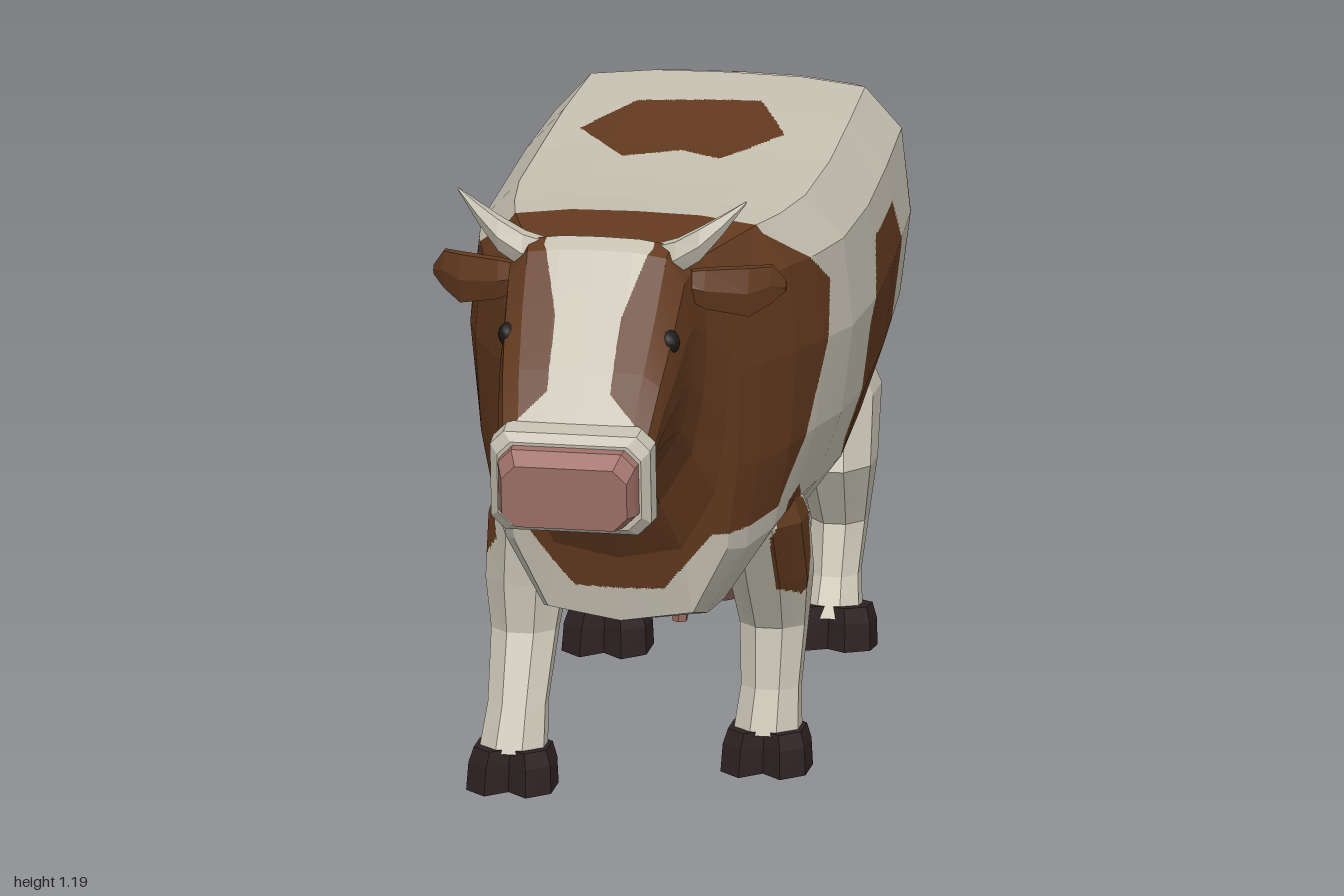
import * as THREE from 'three';

const mat = (name, color) => {
  const m = new THREE.MeshStandardMaterial({ color });
  m.name = name;
  return m;
};
const HEAD_X = -0.01; // the head sits slightly off the centre line

// Even-odd test of a point against a patch outline
function inside(poly, a, b) {
  let hit = false;
  for (let i = 0, j = poly.length - 1; i < poly.length; j = i++) {
    const [ai, bi] = poly[i], [aj, bj] = poly[j];
    if ((bi > b) !== (bj > b) && a < ((aj - ai) * (b - bi)) / (bj - bi) + ai) hit = !hit;
  }
  return hit;
}

// Coat patches: outlines in (z, y), and in (x, z) for the ones seen from above
const FRONT = [[0.32, 1.2], [0.32, 1.05], [0.14, 0.92], [0.25, 0.64], [0.32, 0.54], [0.4, 0.53], [0.45, 0.45], [0.5, 0.41], [1, 0.4], [1, 1.2]];
const FLANK = [[-0.22, 0.9], [-0.42, 0.91], [-0.5, 0.8], [-0.5, 0.54], [-0.42, 0.45], [-0.22, 0.45], [-0.14, 0.54], [-0.14, 0.76]];
const SHOULDER = [[0.27, 0.44], [0.25, 0.53], [0.2, 0.55], [0.14, 0.5], [0.12, 0.4], [0.15, 0.33], [0.2, 0.35]];
const RUMP = [[-0.62, 0.62], [-0.61, 0.78], [-0.62, 0.99], [-0.7, 1.035], [-0.775, 1.02], [-0.795, 1.1], [-0.9, 1.1], [-0.9, 0.62]];
const BACK = [[-0.21, -0.28], [-0.13, -0.43], [0.09, -0.46], [0.165, -0.28], [0.075, -0.11], [0, -0.15], [-0.1, -0.1]];
const BLAZE = [[-0.095, 0.54], [-0.1, 0.64], [-0.06, 0.75], [-0.058, 0.845], [-0.13, 0.89], [0.13, 0.89], [0.058, 0.845], [0.06, 0.75], [0.1, 0.64], [0.095, 0.54]];

// 0 = white coat, 1 = brown coat
function coat(p) {
  const ax = Math.abs(p.x);
  if (p.y > 0.78 && inside(BLAZE, p.x - HEAD_X, p.z)) return 0;
  if (p.y > 0.42 + 1.2 * Math.max(0, Math.min(ax, 0.17) - 0.08) && inside(FRONT, p.z, p.y)) return 1;
  if (p.z < -0.8 && ax < 0.06 && p.y < 0.95) return 0;
  if (inside(RUMP, p.z, p.y)) return 1;
  if (ax > 0.2 && inside(FLANK, p.z, p.y)) return 1;
  if (ax > 0.235 && inside(SHOULDER, p.z, p.y)) return 1;
  return p.y > 0.95 && inside(BACK, p.x, p.z) ? 1 : 0;
}

// Closed faceted skin over a list of rings; facets are split, more finely along patch edges
function loft(name, rings, materials, rule = () => 0, sub = 1) {
  const centre = (r) => {
    const c = r.reduce((s, p) => s.add(p), new THREE.Vector3()).divideScalar(r.length);
    return r.map(() => c);
  };
  const all = [centre(rings[0]), ...rings, centre(rings[rings.length - 1])];
  const n = rings[0].length, tris = [];
  let volume = 0;
  const tri = (a, b, c) => {
    const cross = b.clone().sub(a).cross(c.clone().sub(a));
    if (cross.lengthSq() < 1e-16) return;
    volume += a.dot(b.clone().cross(c));
    tris.push([a, b, c]);
  };
  for (let i = 0; i < all.length - 1; i++) {
    for (let j = 0; j < n; j++) {
      const k = (j + 1) % n;
      const at = (u, v) => all[i][j].clone().lerp(all[i][k], v / sub)
        .lerp(all[i + 1][j].clone().lerp(all[i + 1][k], v / sub), u / sub);
      for (let u = 0; u < sub; u++) for (let v = 0; v < sub; v++) {
        const a = at(u, v), b = at(u + 1, v), c = at(u + 1, v + 1), d = at(u, v + 1);
        tri(a, b, c);
        tri(a, c, d);
      }
    }
  }
  const buckets = materials.map(() => []);
  const paint = (a, b, c, depth) => {
    const mid = a.clone().add(b).add(c).divideScalar(3), m = rule(mid);
    if (depth > 0 && [a, b, c].some((p) => rule(p) !== m)) {
      const ab = a.clone().lerp(b, 0.5), bc = b.clone().lerp(c, 0.5), ca = c.clone().lerp(a, 0.5);
      for (const t of [[a, ab, ca], [ab, b, bc], [ca, bc, c], [ab, bc, ca]]) paint(...t, depth - 1);
    } else for (const p of [a, b, c]) buckets[m].push(p.x, p.y, p.z);
  };
  for (const [a, b, c] of tris) volume > 0 ? paint(a, b, c, 2) : paint(a, c, b, 2);
  const geo = new THREE.BufferGeometry();
  geo.setAttribute('position', new THREE.Float32BufferAttribute(buckets.flat(), 3));
  let start = 0;
  buckets.forEach((b, i) => {
    if (b.length) geo.addGroup(start, b.length / 3, i);
    start += b.length / 3;
  });
  geo.computeVertexNormals();
  const mesh = new THREE.Mesh(geo, materials);
  mesh.name = name;
  return mesh;
}

// Rings of [x, y, z, ra, rb] lying across the given axis; side mirrors x
function rings(sections, axis, sides, side = 1) {
  return sections.map(([x, y, z, ra, rb = ra]) => Array.from({ length: sides }, (_, i) => {
    const t = ((i + 0.5) / sides) * Math.PI * 2, c = Math.cos(t) * ra, s = Math.sin(t) * rb;
    return axis === 'x'
      ? new THREE.Vector3(side * x, y + c, z + s)
      : new THREE.Vector3(side * (x + c), y, z + s);
  }));
}

// Bevelled rectangle ring across z, leaning back at the bottom
function boxRing([z, y, hw, hh]) {
  const b = 0.025;
  return [[hw - b, hh], [hw, hh - b], [hw, b - hh], [hw - b, -hh], [b - hw, -hh], [-hw, b - hh], [-hw, hh - b], [b - hw, hh]]
    .map(([px, py]) => new THREE.Vector3(px + HEAD_X, y + py, z + py * 0.1));
}

export function createModel() {
  const white = mat('white coat', 0xc6c1b2), brown = mat('brown coat', 0x633a1f);
  const pink = mat('pink skin', 0x9f7168), dark = mat('dark hoof', 0x2e2223), black = mat('eye black', 0x1d1a1a);
  const hide = [white, brown];
  const cow = new THREE.Group();
  cow.name = 'cow';

  // Body, neck and head: half outline (width, height fractions, blunt width and height)
  // over stations [z, top, bottom, half width, bluntness]
  const half = [[0, 1, 0, 1], [0.4, 0.997, 0.4, 0.997], [0.75, 0.98, 0.75, 0.98], [0.95, 0.88, 0.95, 0.88], [1, 0.67, 1, 0.67],
    [0.94, 0.46, 0.97, 0.42], [0.81, 0.29, 0.88, 0.2], [0.45, 0.075, 0.6, 0.03], [0, 0, 0, 0]];
  const outline = [...half, ...half.slice(1, -1).reverse().map(([x, y, bx, by]) => [-x, y, -bx, by])];
  const stations = [
    [-0.81, 0.98, 0.48, 0.19, 0], [-0.75, 1.045, 0.41, 0.275, 0], [-0.62, 1.08, 0.34, 0.335, 0], [-0.4, 1.075, 0.295, 0.348, 0],
    [-0.18, 1.064, 0.265, 0.354, 0], [0.05, 1.064, 0.29, 0.35, 0], [0.2, 1.07, 0.32, 0.325, 0.3], [0.32, 1.08, 0.33, 0.295, 0.7],
    [0.42, 1.075, 0.34, 0.25, 1], [0.475, 1.07, 0.355, 0.222, 1], [0.5, 1.065, 0.48, 0.205, 0.8], [0.56, 1.085, 0.575, 0.185, 0.5],
    [0.62, 1.115, 0.635, 0.175, 0.4], [0.66, 1.1, 0.65, 0.17, 0.4], [0.74, 1.01, 0.68, 0.163, 0.4], [0.82, 0.92, 0.7, 0.152, 0.5], [0.88, 0.835, 0.675, 0.14, 0.6],
  ];
  cow.add(loft('body', stations.map(([z, top, bot, w, blunt]) => outline.map(([x, y, bx, by]) => {
    const fx = THREE.MathUtils.lerp(x, bx, blunt), fy = THREE.MathUtils.lerp(y, by, blunt);
    return new THREE.Vector3(fx * w + (z > 0.55 ? HEAD_X : 0), bot + fy * (top - bot), z);
  })), hide, coat, 8));

  // Muzzle and nose
  cow.add(loft('muzzle', [[0.86, 0.75, 0.135, 0.085], [0.88, 0.738, 0.149, 0.097], [0.925, 0.737, 0.147, 0.094], [0.94, 0.735, 0.132, 0.08]].map(boxRing), [white]));
  cow.add(loft('nose', [[0.925, 0.737, 0.129, 0.073], [0.965, 0.737, 0.126, 0.071], [0.994, 0.726, 0.115, 0.058]].map(boxRing), [pink]));

  const head = new THREE.Group();
  head.name = 'headParts';
  head.position.x = HEAD_X;
  cow.add(head);
  for (const s of [1, -1]) {
    const label = s > 0 ? 'left' : 'right';
    // Ears, horns and eyes
    head.add(loft(label + 'Ear', rings([[0.13, 1.035, 0.615, 0.02, 0.015], [0.19, 1.022, 0.6, 0.042, 0.022], [0.265, 1.012, 0.57, 0.052, 0.022],
      [0.3, 1.02, 0.545, 0.04, 0.017], [0.323, 1.012, 0.525, 0.01, 0.008]], 'x', 6, s), [brown]));
    head.add(loft(label + 'Horn', rings([[0.1, 1.075, 0.61, 0.03, 0.026], [0.14, 1.085, 0.622, 0.036, 0.03], [0.185, 1.113, 0.625, 0.034, 0.026],
      [0.225, 1.148, 0.615, 0.02, 0.016], [0.264, 1.187, 0.605, 0.003]], 'x', 6, s), [white]));
    const eye = new THREE.Mesh(new THREE.SphereGeometry(0.024, 8, 6), black);
    eye.name = label + 'Eye';
    eye.scale.set(0.8, 0.95, 0.95);
    eye.position.set(s * 0.148, 0.957, 0.738);
    head.add(eye);

    // Legs in a walking pose: [x, y, z, half width, half depth]
    const front = s > 0
      ? [[0.2, 0.64, 0.19, 0.04, 0.05], [0.21, 0.48, 0.17, 0.08, 0.11], [0.213, 0.36, 0.12, 0.078, 0.09], [0.213, 0.26, 0.09, 0.064, 0.06], [0.213, 0.15, 0.12, 0.057, 0.048], [0.21, 0.07, 0.14, 0.064, 0.058]]
      : [[0.2, 0.64, 0.2, 0.04, 0.05], [0.21, 0.48, 0.2, 0.08, 0.11], [0.217, 0.36, 0.21, 0.078, 0.09], [0.217, 0.27, 0.235, 0.064, 0.062], [0.217, 0.15, 0.31, 0.057, 0.048], [0.22, 0.07, 0.342, 0.064, 0.058]];
    const hind = s > 0
      ? [[0.16, 0.62, -0.62, 0.07, 0.08], [0.2, 0.5, -0.62, 0.08, 0.12], [0.213, 0.385, -0.55, 0.073, 0.1], [0.213, 0.27, -0.58, 0.053, 0.062], [0.213, 0.18, -0.53, 0.048, 0.045], [0.215, 0.115, -0.49, 0.056, 0.056]]
      : [[0.16, 0.62, -0.64, 0.07, 0.08], [0.2, 0.5, -0.67, 0.08, 0.12], [0.213, 0.385, -0.645, 0.073, 0.1], [0.213, 0.25, -0.68, 0.053, 0.062], [0.213, 0.15, -0.625, 0.048, 0.045], [0.215, 0.07, -0.6, 0.056, 0.056]];
    for (const [part, leg, lift, tilt] of [['FrontLeg', front, 0, 0], ['HindLeg', hind, s > 0 ? 0.054 : 0, s > 0 ? -0.12 : 0]]) {
      cow.add(loft(label + part, rings(leg, 'y', 8, s), hide, coat, 4));
      // Cloven hoof: two toes side by side
      const hoof = new THREE.Group();
      hoof.name = label + part + 'Hoof';
      for (const t of [-1, 1]) {
        hoof.add(loft('toe', rings([[t * 0.032, 0.077, -0.004, 0.04, 0.064], [t * 0.036, 0.05, 0, 0.045, 0.072], [t * 0.038, 0, 0.004, 0.046, 0.078]], 'y', 6), [dark]));
      }
      const ankle = leg[leg.length - 1];
      hoof.position.set(s * ankle[0], lift, ankle[2] + 0.008);
      hoof.rotation.x = tilt;
      cow.add(hoof);
    }
  }

  // Udder and teats
  cow.add(loft('udder', rings([[0.02, 0.33, -0.38, 0.1, 0.11], [0.02, 0.275, -0.372, 0.138, 0.152], [0.02, 0.225, -0.37, 0.132, 0.145], [0.02, 0.185, -0.375, 0.095, 0.1]], 'y', 8), [pink]));
  for (const x of [-0.035, 0.12]) for (const [z, tip] of [[-0.325, 0.132], [-0.43, 0.155]]) {
    cow.add(loft('teat', rings([[x, 0.23, z, 0.026], [x, 0.175, z, 0.02], [x, tip, z, 0.014]], 'y', 6), [pink]));
  }

  // Tail and tuft
  cow.add(loft('tail', rings([[0, 0.955, -0.79, 0.02], [0, 0.925, -0.835, 0.018], [0.01, 0.87, -0.875, 0.015], [0.025, 0.78, -0.905, 0.013], [0.045, 0.58, -0.935, 0.011], [0.058, 0.36, -0.958, 0.01]], 'y', 6), [white]));
  cow.add(loft('tailTuft', rings([[0.058, 0.385, -0.957, 0.01], [0.06, 0.31, -0.967, 0.025, 0.032], [0.062, 0.265, -0.972, 0.018, 0.022], [0.064, 0.23, -0.982, 0.003]], 'y', 6), [brown]));
  return cow;
}
